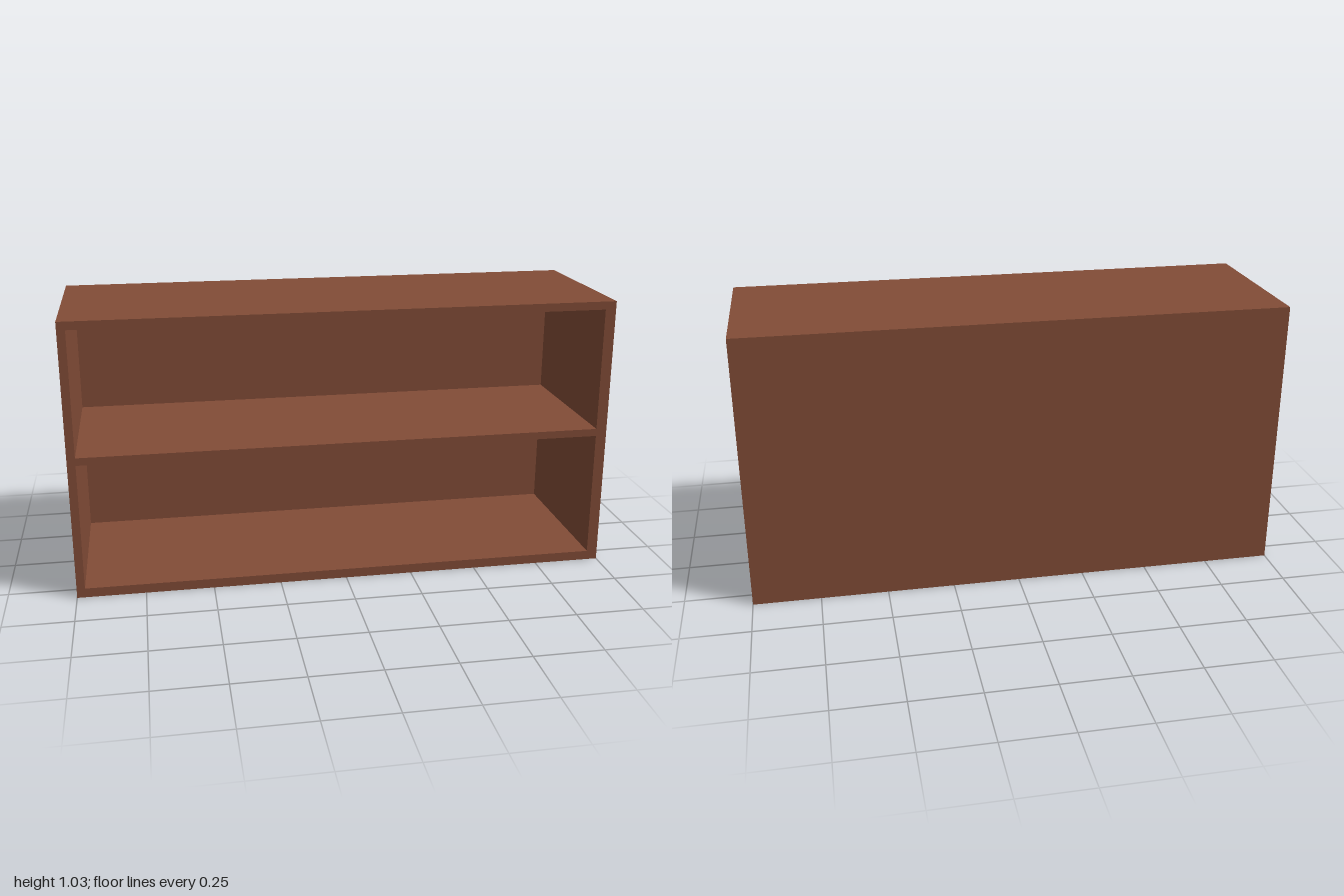
import * as THREE from 'three';

const HEIGHT = 1.03, DEPTH = 0.64, BACK = 0.03;

// Rectangular outline from two corners
function rectangle(Type, x0, y0, x1, y1) {
  return new Type([
    new THREE.Vector2(x0, y0), new THREE.Vector2(x1, y0),
    new THREE.Vector2(x1, y1), new THREE.Vector2(x0, y1),
  ]);
}

export function createModel() {
  const model = new THREE.Group();
  model.name = 'bookcase';
  const wood = new THREE.MeshStandardMaterial({ color: 0x824c37 });
  wood.name = 'brown wood';

  // Sides, top, bottom and middle shelf: one frame around two open bays
  const outline = rectangle(THREE.Shape, -1, 0, 1, HEIGHT);
  for (const [bottom, top] of [[0.035, 0.512], [0.54, 1.0]]) {
    outline.holes.push(rectangle(THREE.Path, -0.97, bottom, 0.96, top));
  }
  const frame = new THREE.Mesh(
    new THREE.ExtrudeGeometry(outline, { depth: DEPTH - BACK, bevelEnabled: false }), wood);
  frame.name = 'shelfFrame';
  frame.position.z = -DEPTH / 2 + BACK;
  model.add(frame);

  // Back panel closing both bays
  const back = new THREE.Mesh(new THREE.BoxGeometry(2, HEIGHT, BACK), wood);
  back.name = 'backPanel';
  back.position.set(0, HEIGHT / 2, -DEPTH / 2 + BACK / 2);
  model.add(back);

  return model;
}
